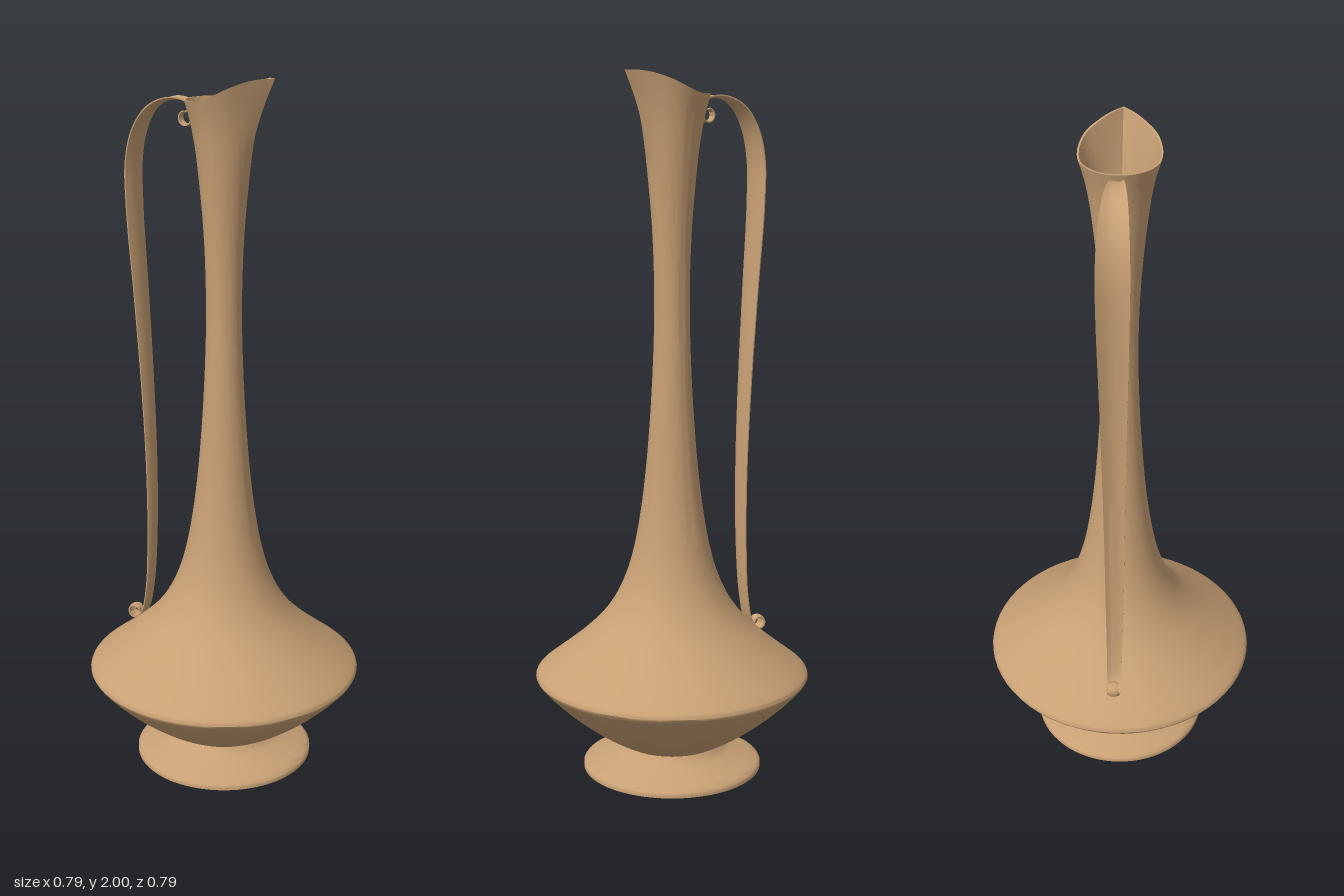
import * as THREE from 'three';
import { mergeVertices, toCreasedNormals } from 'three/addons/utils/BufferGeometryUtils.js';

const clay = new THREE.MeshStandardMaterial({ color: 0xc8a074 });
clay.name = 'tan clay';

const V2 = (p) => new THREE.Vector2(p[0], p[1]);
const spline = (pts, n) => new THREE.SplineCurve(pts.map(V2)).getPoints(n);

// Weld, then smooth everything except sharp edges
function finish(geometry, crease) {
  geometry.deleteAttribute('uv');
  geometry.deleteAttribute('normal');
  return toCreasedNormals(mergeVertices(geometry, 1e-5), crease);
}

// Pull the +x side of the mouth out to a point and lift it into a spout
function shapeSpout(geometry) {
  const pos = geometry.attributes.position;
  const reach = 0.8; // half angle of the spout, in radians
  for (let i = 0; i < pos.count; i++) {
    const x = pos.getX(i), y = pos.getY(i), z = pos.getZ(i);
    const t = THREE.MathUtils.smoothstep(y, 1.72, 1.96);
    if (t === 0) continue;
    const a = Math.min(Math.abs(Math.atan2(z, x)), reach);
    const k = 1 + (1 / Math.cos(reach - a) - 1) * Math.min(1, t * 1.03);
    const lift = 0.062 * t * THREE.MathUtils.smoothstep(x * k, -0.04, 0.135);
    pos.setXYZ(i, x * k, y + lift, z * k);
  }
}

function makeVessel() {
  const foot = spline([[0.26, 0.012], [0.25, 0.02], [0.2, 0.038], [0.16, 0.055], [0.142, 0.075]], 12);
  const bowl = spline([[0.142, 0.075], [0.17, 0.09], [0.23, 0.128], [0.3, 0.182], [0.36, 0.238], [0.393, 0.275]], 16);
  const neck = spline([[0.397, 0.283], [0.388, 0.297], [0.335, 0.338], [0.265, 0.395], [0.2, 0.46],
    [0.152, 0.535], [0.117, 0.63], [0.091, 0.76], [0.071, 0.93], [0.056, 1.15], [0.05, 1.36],
    [0.055, 1.56], [0.071, 1.75], [0.087, 1.86], [0.107, 1.937]], 64);
  // Inside wall follows the neck and bowl back down to a flat floor
  const wall = 0.005;
  const inside = [...bowl.slice(2), ...neck].reverse()
    .map((p) => new THREE.Vector2(p.x - wall, p.y + (p.y < 0.28 ? wall : 0)));
  const profile = [V2([0, 0]), V2([0.26, 0]), ...foot, ...bowl.slice(1), ...neck, ...inside,
    V2([0, inside[inside.length - 1].y])];
  const geometry = new THREE.LatheGeometry(profile, 64);
  shapeSpout(geometry);
  const mesh = new THREE.Mesh(finish(geometry, 0.7), clay);
  mesh.name = 'vessel';
  return mesh;
}

// Points round a scroll; the third value is the half width of the strap
function scroll(cx, cy, r, from, to, wFrom, wTo) {
  const pts = [];
  for (let i = 0; i <= 9; i++) {
    const a = THREE.MathUtils.degToRad(THREE.MathUtils.lerp(from, to, i / 9));
    pts.push([cx + r * Math.cos(a), cy + r * Math.sin(a), THREE.MathUtils.lerp(wFrom, wTo, i / 9)]);
  }
  return pts;
}

function makeHandle() {
  const stations = [
    ...scroll(-0.117, 1.882, 0.018, -260, 30, 0.011, 0.014),
    [-0.112, 1.924, 0.016], [-0.164, 1.932, 0.025], [-0.222, 1.906, 0.034], [-0.264, 1.847, 0.04],
    [-0.286, 1.762, 0.043], [-0.287, 1.63, 0.042], [-0.271, 1.39, 0.037], [-0.255, 1.127, 0.032],
    [-0.245, 0.862, 0.028], [-0.247, 0.624, 0.025], [-0.259, 0.466, 0.022], [-0.279, 0.385, 0.021],
    ...scroll(-0.313, 0.379, 0.019, -70, -360, 0.02, 0.012),
  ];
  const path = new THREE.CatmullRomCurve3(stations.map((s) => new THREE.Vector3(...s)));
  const rows = 200, across = 6, thick = 0.0035, ring = 2 * (across + 1);
  const positions = [], index = [];
  for (let i = 0; i <= rows; i++) {
    const p = path.getPoint(i / rows), w = p.z;
    const t = path.getTangent(i / rows).setZ(0).normalize();
    for (let j = 0; j < ring; j++) {
      const outer = j <= across;
      const u = ((outer ? j : ring - 1 - j) / across) * 2 - 1;
      // The edges of the strap rise, leaving a shallow channel
      const h = (outer ? thick : -thick) / 2 + 0.25 * w * (u * u - 0.5);
      positions.push(p.x + t.y * h, p.y - t.x * h, u * w);
    }
  }
  for (let i = 0; i < rows; i++) {
    for (let j = 0; j < ring; j++) {
      const a = i * ring + j, b = i * ring + (j + 1) % ring;
      index.push(a, a + ring, b, b, a + ring, b + ring);
    }
  }
  // Close both ends of the strap
  const last = rows * ring;
  for (let j = 0; j < across; j++) {
    const a = j, b = j + 1, c = ring - 2 - j, d = ring - 1 - j;
    index.push(a, b, c, a, c, d);
    index.push(last + a, last + c, last + b, last + a, last + d, last + c);
  }
  const geometry = new THREE.BufferGeometry();
  geometry.setAttribute('position', new THREE.Float32BufferAttribute(positions, 3));
  geometry.setIndex(index);
  const mesh = new THREE.Mesh(finish(geometry, 0.8), clay);
  mesh.name = 'handle';
  return mesh;
}

export function createModel() {
  const group = new THREE.Group();
  group.name = 'ewer';
  group.add(makeVessel(), makeHandle());
  return group;
}
